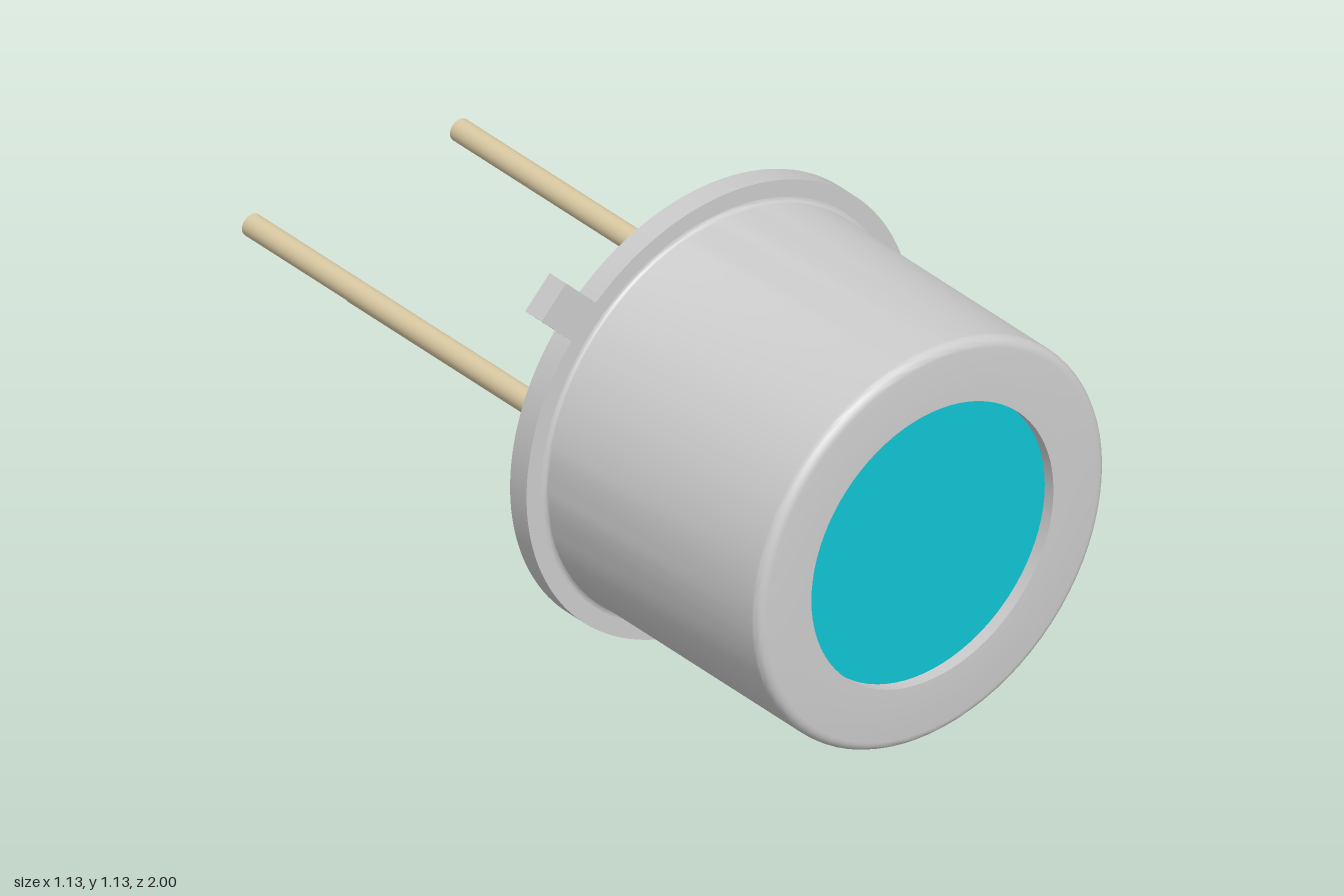
import * as THREE from 'three';
import { toCreasedNormals } from 'three/addons/utils/BufferGeometryUtils.js';

const CENTER_Y = 0.567;
const BACK = 0.205, FLANGE_FRONT = 0.262, FRONT = 1, FLOOR = 0.97;
const FLANGE_R = 0.566, CAN_R = 0.511, WINDOW_R = 0.355;

const grey = new THREE.MeshStandardMaterial({ color: 0xcccccc });
const cyan = new THREE.MeshStandardMaterial({ color: 0x10c4d4 });
const tan = new THREE.MeshStandardMaterial({ color: 0xdccba4 });

// Cylinder lying along z between two depths
function rod(radius, z0, z1, sides) {
  return new THREE.CylinderGeometry(radius, radius, z1 - z0, sides)
    .rotateX(Math.PI / 2)
    .translate(0, 0, (z0 + z1) / 2);
}

// Quarter-circle fillet points
function fillet(cx, cy, r, from, to, steps = 5) {
  return Array.from({ length: steps + 1 }, (_, i) => {
    const a = from + (to - from) * i / steps;
    return new THREE.Vector2(cx + r * Math.cos(a), cy + r * Math.sin(a));
  });
}

export function createModel() {
  const model = new THREE.Group();
  model.name = 'windowedSensorCan';
  model.position.y = CENTER_Y;

  const add = (name, geometry, material) => {
    const mesh = new THREE.Mesh(geometry, material);
    mesh.name = name;
    model.add(mesh);
    return mesh;
  };

  // Base flange and its locating tab, drawn as one outline with the tab along +x
  const half = 0.051, a = Math.asin(half / FLANGE_R);
  const outline = new THREE.Shape();
  outline.absarc(0, 0, FLANGE_R, a, Math.PI * 2 - a, false);
  outline.lineTo(0.687, -half);
  outline.lineTo(0.687, half);
  outline.closePath();
  const flange = new THREE.ExtrudeGeometry(outline, {
    depth: FLANGE_FRONT - BACK, bevelEnabled: false, curveSegments: 80,
  }).rotateZ(Math.PI * 0.75).translate(0, 0, BACK);
  add('flangeWithTab', toCreasedNormals(flange, 0.5), grey);

  // Can: small flare at the flange, rounded front rim, recessed window opening
  const flare = 0.012, rim = 0.025;
  const profile = [
    ...fillet(CAN_R + flare, FLANGE_FRONT + flare, flare, Math.PI * 1.5, Math.PI),
    ...fillet(CAN_R - rim, FRONT - rim, rim, 0, Math.PI / 2),
    new THREE.Vector2(WINDOW_R, FRONT),
    new THREE.Vector2(WINDOW_R, FLOOR - 0.01),
  ];
  const can = new THREE.LatheGeometry(profile, 80).rotateX(Math.PI / 2);
  add('can', toCreasedNormals(can, 0.5), grey);

  // Window glass
  add('window', rod(WINDOW_R, FLOOR - 0.03, FLOOR, 80), cyan);

  // Three lead pins
  for (const [name, x, y] of [['leftPin', 0.305, 0], ['rightPin', -0.305, 0], ['lowerPin', 0, -0.305]]) {
    add(name, rod(0.028, -1, BACK + 0.02, 24), tan).position.set(x, y, 0);
  }

  return model;
}
